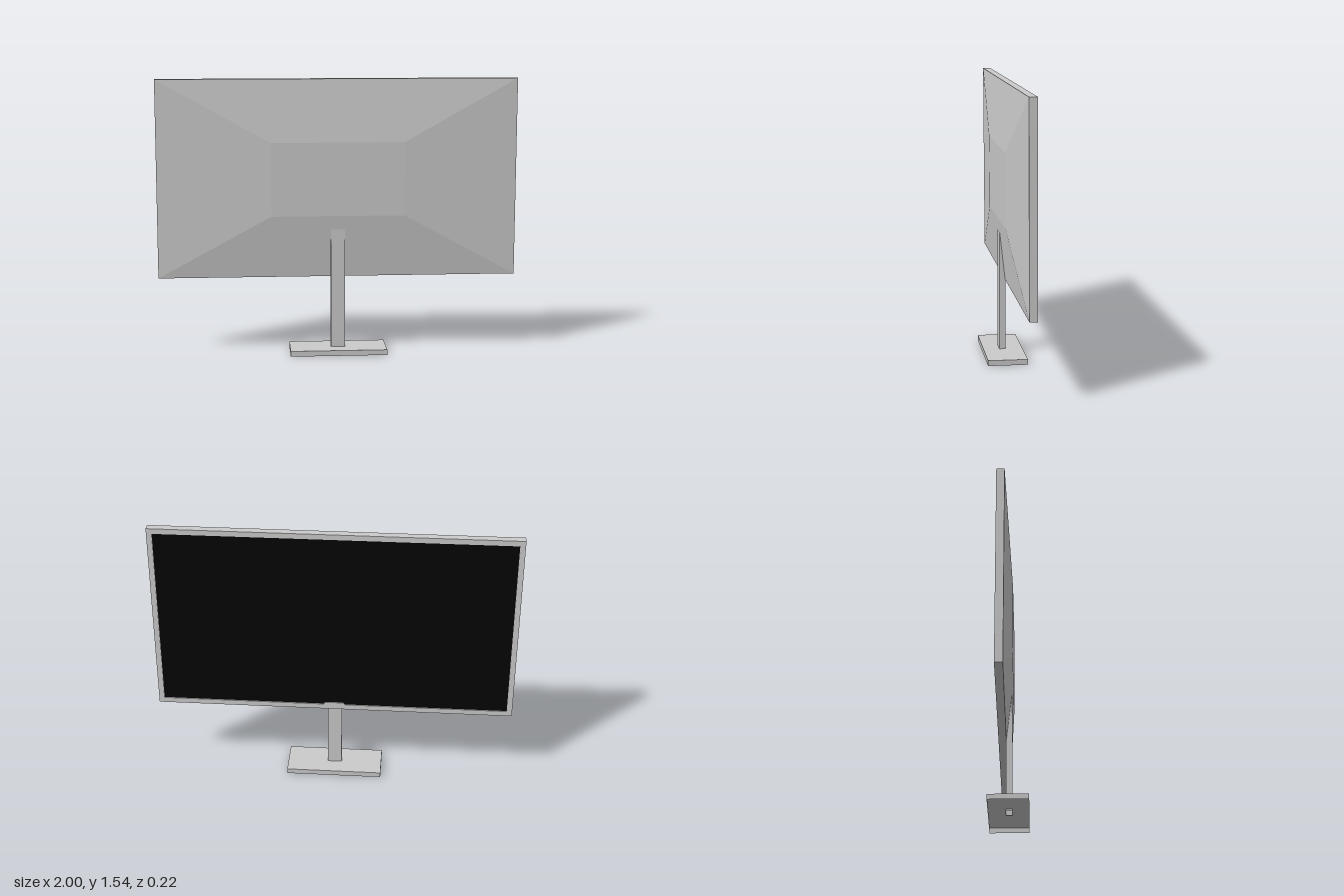
import * as THREE from 'three';

const grey = new THREE.MeshStandardMaterial({ color: 0xcccccc, flatShading: true, side: THREE.DoubleSide });
const black = new THREE.MeshStandardMaterial({ color: 0x050505, side: THREE.DoubleSide });

function add(parent, name, geometry, material = grey) {
  const mesh = new THREE.Mesh(geometry, material);
  mesh.name = name;
  parent.add(mesh);
  return mesh;
}

const polygon = (points) => points.map(([x, y]) => new THREE.Vector2(x, y));
const rectangle = (w, h) => polygon([[-w, -h], [w, -h], [w, h], [-w, h]]);

// Box without the listed sides (0 +x, 1 -x, 2 +y, 3 -y, 4 +z, 5 -z)
function openBox(w, h, d, omit) {
  const geometry = new THREE.BoxGeometry(w, h, d);
  const index = Array.from(geometry.index.array);
  geometry.setIndex(index.filter((_, i) => !omit.includes(Math.floor(i / 6))));
  geometry.clearGroups();
  return geometry;
}

// Moves every vertex by a rule
function reshape(geometry, rule) {
  const p = geometry.attributes.position;
  const v = new THREE.Vector3();
  for (let i = 0; i < p.count; i++) {
    rule(v.fromBufferAttribute(p, i));
    p.setXYZ(i, v.x, v.y, v.z);
  }
  geometry.computeVertexNormals();
  return geometry;
}

export function createModel() {
  const model = new THREE.Group();
  model.name = 'monitor';

  // Display, leaning very slightly; its screen faces -z
  const display = new THREE.Group();
  display.name = 'display';
  display.position.set(0, 0.9825, -0.0085);
  display.rotation.x = 0.0064;
  model.add(display);

  const W = 1, H = 0.5525, depth = 0.043, rim = 0.03;
  const iw = W - rim, ih = H - rim;

  // Bezel ring, with a small raised tab in the middle of its lower edge
  const ring = new THREE.Shape(rectangle(W, H));
  ring.holes.push(new THREE.Path(polygon([
    [-iw, -ih], [-0.06, -ih], [-0.05, -ih + 0.012], [0.05, -ih + 0.012],
    [0.06, -ih], [iw, -ih], [iw, ih], [-iw, ih],
  ])));
  const bezel = new THREE.ExtrudeGeometry(ring, { depth, bevelEnabled: false });
  add(display, 'bezel', bezel.translate(0, 0, -depth));

  const screen = add(display, 'screen', new THREE.PlaneGeometry(2 * iw, 2 * ih), black);
  screen.rotation.y = Math.PI;
  screen.position.z = -depth + 0.006;

  // Housing tapering to a smaller flat panel
  const bulge = 0.037;
  const housing = new THREE.BoxGeometry(2 * W, 2 * H, bulge).translate(0, 0, bulge / 2);
  add(display, 'housing', reshape(housing, (v) => {
    if (v.z > bulge / 2) {
      v.x *= 0.37;
      v.y *= 0.371;
    }
  }));

  // Stand: hollow neck with a slanted top, running into the housing
  const stand = new THREE.Group();
  stand.name = 'stand';
  model.add(stand);
  const neckZ = 0.0025;
  const neck = openBox(0.08, 0.68, 0.035, [3]).translate(0, 0.36, neckZ);
  add(stand, 'neck', reshape(neck, (v) => {
    if (v.y > 0.5 && v.z < neckZ) v.y -= 0.06;
  }));

  // Base: walls and a slotted top plate, open underneath
  const baseHeight = 0.03;
  add(stand, 'baseWalls', openBox(0.54, baseHeight, 0.22, [2, 3])).position.y = baseHeight / 2;
  const plate = new THREE.Shape(rectangle(0.27, 0.11));
  plate.holes.push(new THREE.Path(rectangle(0.04, 0.0175).map((p) => p.add(new THREE.Vector2(0, -neckZ)))));
  const top = add(stand, 'baseTop', new THREE.ShapeGeometry(plate));
  top.rotation.x = -Math.PI / 2;
  top.position.y = baseHeight;

  return model;
}
